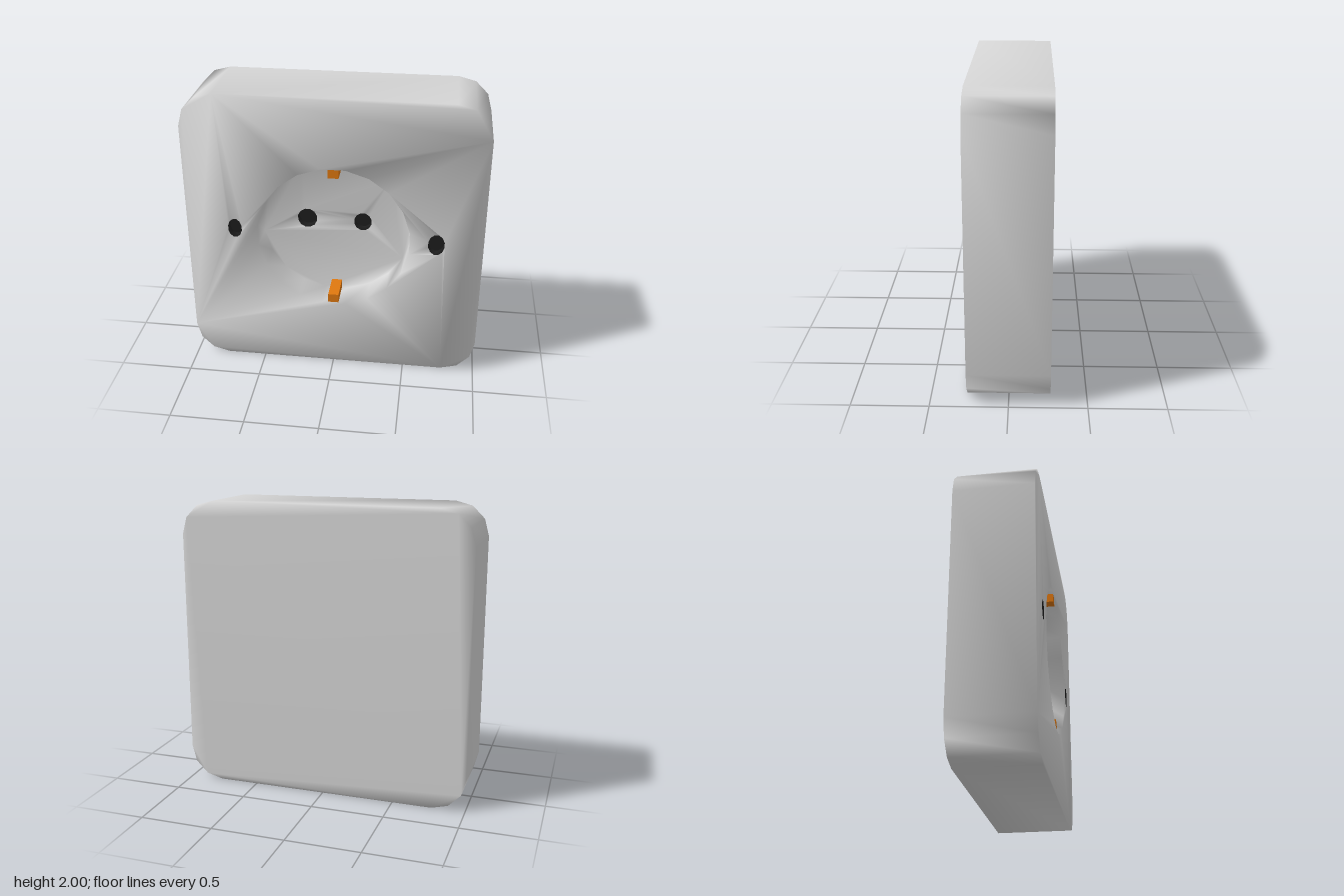
import * as THREE from 'three';
import { mergeGeometries, mergeVertices } from 'three/addons/utils/BufferGeometryUtils.js';

const FRONT = 0.265, BACK = -0.265, FLOOR = 0.06, POCKET = 0.06;

const material = (name, color) => {
  const m = new THREE.MeshStandardMaterial({ color });
  m.name = name;
  return m;
};

// Points of an ellipse, anticlockwise
function ellipse(cx, cy, rx, ry, n) {
  return Array.from({ length: n }, (_, i) => {
    const a = ((i + 0.5) / n) * Math.PI * 2;
    return new THREE.Vector2(cx + rx * Math.cos(a), cy + ry * Math.sin(a));
  });
}

// Square outline with three-sided rounded corners, anticlockwise
function plateOutline(half, r) {
  const pts = [];
  [[1, 1], [-1, 1], [-1, -1], [1, -1]].forEach(([sx, sy], q) => {
    for (let i = 0; i <= 3; i++) {
      const a = (q + i / 3) * Math.PI / 2;
      pts.push(new THREE.Vector2(
        sx * (half - r) + r * Math.cos(a), 1 + sy * (half - r) + r * Math.sin(a)));
    }
  });
  return pts;
}

// Flat face with optional holes at depth z
function face(points, z, holes = []) {
  const shape = new THREE.Shape(points);
  holes.forEach(h => shape.holes.push(new THREE.Path(h)));
  return strip(new THREE.ShapeGeometry(shape).translate(0, 0, z));
}

// Wall around an outline; inward turns it to face the middle
function wall(points, z0, z1, inward = false) {
  const pts = inward ? [...points].reverse() : points;
  const pos = [], index = [], n = pts.length;
  pts.forEach((p, i) => {
    const j = (i + 1) % n;
    pos.push(p.x, p.y, z0, p.x, p.y, z1);
    index.push(2 * i, 2 * j, 2 * j + 1, 2 * i, 2 * j + 1, 2 * i + 1);
  });
  const g = new THREE.BufferGeometry();
  g.setAttribute('position', new THREE.Float32BufferAttribute(pos, 3));
  g.setIndex(index);
  return g;
}

// Keep positions only, so shared corners can be joined
function strip(g) {
  g.deleteAttribute('normal');
  g.deleteAttribute('uv');
  return g;
}

export function createModel() {
  const group = new THREE.Group();
  const grey = material('light grey plastic', 0xd6d6d6);
  const black = material('black hole', 0x1e1e1e);
  const orange = material('orange contact', 0xe0780f);

  const outline = plateOutline(1, 0.23);
  const recess = ellipse(0, 1.005, 0.518, 0.518, 20);
  const screwHoles = [ellipse(-0.67, 1.045, 0.048, 0.07, 12), ellipse(0.69, 1.01, 0.056, 0.077, 12)];
  const pinHoles = [ellipse(-0.205, 1.045, 0.068, 0.072, 12), ellipse(0.18, 1.04, 0.061, 0.067, 12)];

  // Housing: plate, round recess and holes share corners for one soft surface
  const shell = [
    face(outline, FRONT, [recess, ...screwHoles]),
    face(outline, 0).rotateY(Math.PI).translate(0, 0, BACK),
    wall(outline, BACK, FRONT),
    wall(recess, FLOOR, FRONT, true),
    face(recess, FLOOR, pinHoles),
  ];
  const holeWalls = [
    ...screwHoles.map(h => wall(h, FRONT - POCKET, FRONT, true)),
    ...pinHoles.map(h => wall(h, FLOOR - POCKET, FLOOR, true)),
  ];
  const body = mergeVertices(mergeGeometries(
    [mergeGeometries(shell), mergeGeometries(holeWalls)], true), 1e-4);
  body.computeVertexNormals();
  const housing = new THREE.Mesh(body, [grey, black]);
  housing.name = 'housing';
  group.add(housing);

  // Bottoms of the screw and pin holes
  const addBottoms = (name, holes, z) => holes.forEach(h => {
    const g = face(h, z - POCKET);
    g.computeVertexNormals();
    const mesh = new THREE.Mesh(g, black);
    mesh.name = name;
    group.add(mesh);
  });
  addBottoms('screwHole', screwHoles, FRONT);
  addBottoms('pinHole', pinHoles, FLOOR);

  // Earth contacts at the top and bottom of the recess
  [['upperContact', 1.485], ['lowerContact', 0.527]].forEach(([name, y]) => {
    const depth = FRONT - FLOOR - 0.005;
    const contact = new THREE.Mesh(new THREE.BoxGeometry(0.072, 0.062, depth), orange);
    contact.position.set(0, y, FLOOR + depth / 2);
    contact.name = name;
    group.add(contact);
  });

  return group;
}
